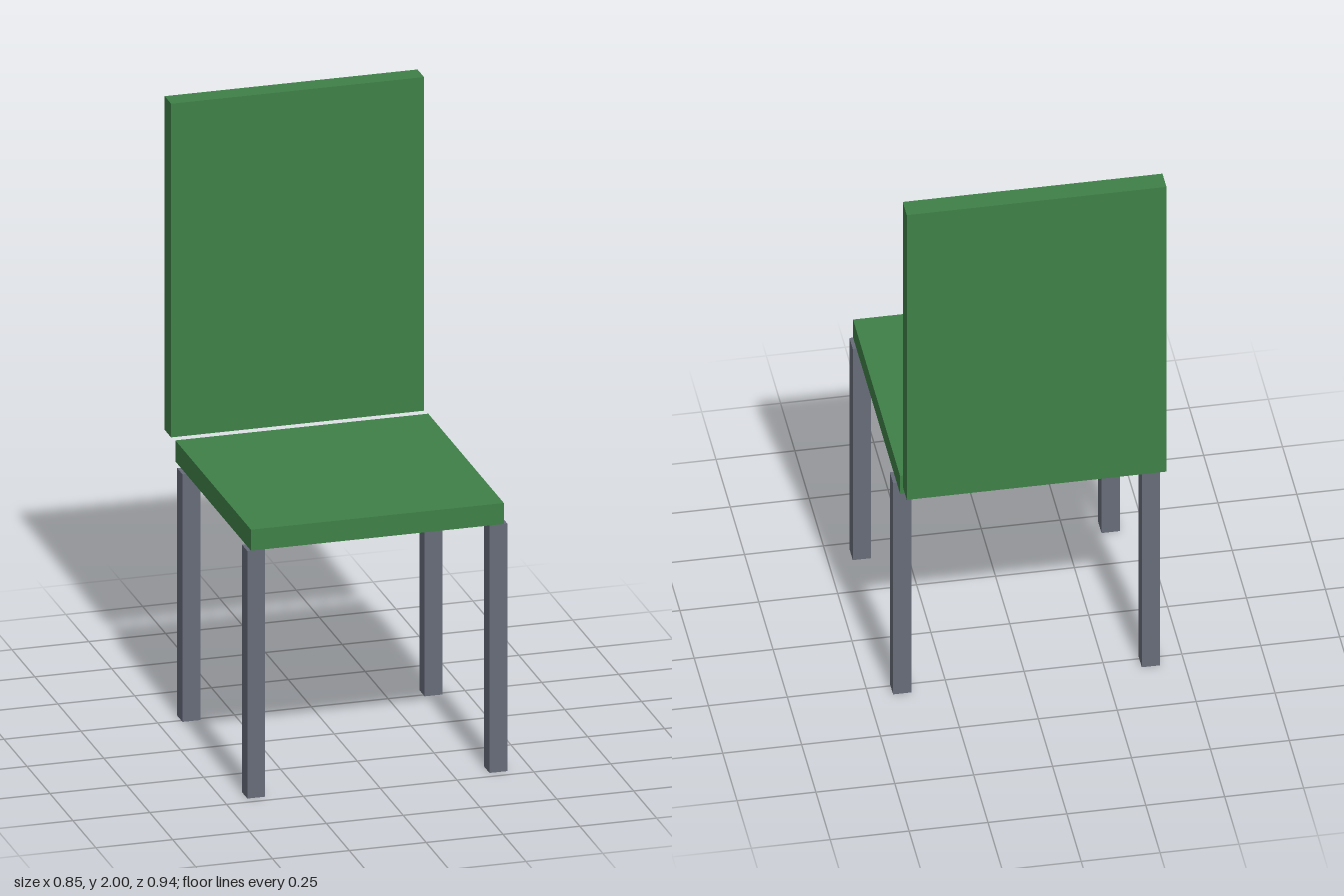
import * as THREE from 'three';

export function createModel() {
  const model = new THREE.Group();
  model.name = 'chair';

  const green = new THREE.MeshStandardMaterial({ color: 0x3f8048 });
  green.name = 'green panel';
  const grey = new THREE.MeshStandardMaterial({ color: 0x676c79 });
  grey.name = 'grey leg';

  // Box given by its size and centre
  const addBox = (name, material, size, centre) => {
    const mesh = new THREE.Mesh(new THREE.BoxGeometry(...size), material);
    mesh.name = name;
    mesh.position.set(...centre);
    model.add(mesh);
  };

  // Seat and the upright back panel set behind it with a gap
  addBox('seat', green, [0.823, 0.07, 0.823], [0, 0.86, 0.058]);
  addBox('backrest', green, [0.823, 1.112, 0.07], [0, 1.444, -0.435]);

  // Four square legs, slightly proud of the seat sides
  const legHeight = 0.825;
  for (const [side, x] of [['left', 0.394], ['right', -0.394]]) {
    for (const [end, z] of [['Front', 0.44], ['Back', -0.266]]) {
      addBox(`${side}${end}Leg`, grey, [0.058, legHeight, 0.058], [x, legHeight / 2, z]);
    }
  }

  return model;
}
